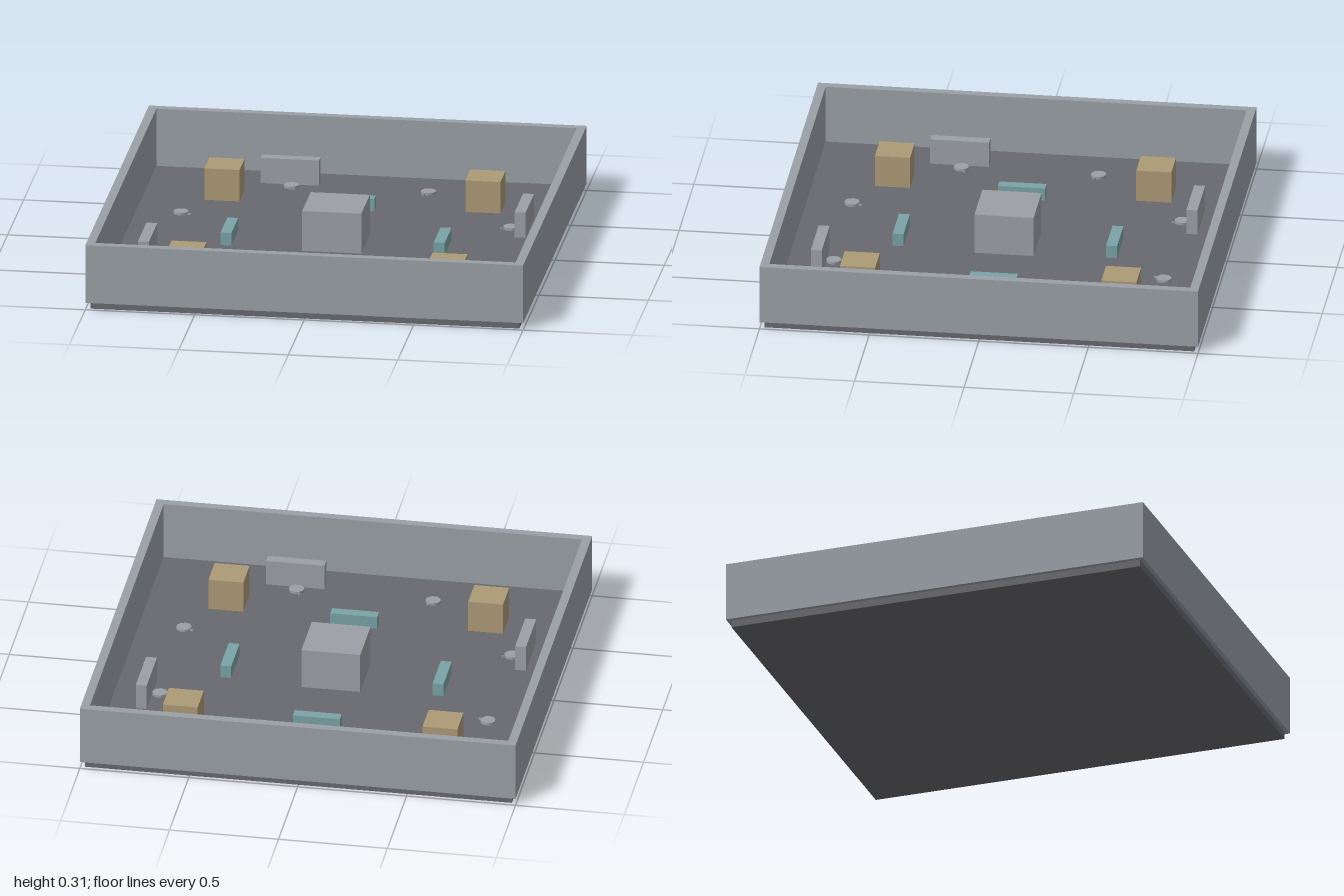
import * as THREE from 'three';

const FLOOR = 0.035; // height of the floor surface

export function createModel() {
  const model = new THREE.Group();
  model.name = 'arena';

  const material = (name, color) => {
    const m = new THREE.MeshStandardMaterial({ color });
    m.name = name;
    return m;
  };
  const wallGrey = material('wallGrey', 0x9aa0a7);
  const floorGrey = material('floorGrey', 0x68696e);
  const coverGrey = material('coverGrey', 0x9b9fa5);
  const crateTan = material('crateTan', 0xad9a76);
  const barrierTeal = material('barrierTeal', 0x7aa3a7);

  // Box resting on the given base height
  const box = (parent, name, mat, w, h, d, x, z, base = FLOOR) => {
    const mesh = new THREE.Mesh(new THREE.BoxGeometry(w, h, d), mat);
    mesh.name = name;
    mesh.position.set(x, base + h / 2, z);
    parent.add(mesh);
    return mesh;
  };

  // Floor slab and central block
  box(model, 'floor', floorGrey, 1.96, FLOOR, 1.96, 0, 0, 0);
  box(model, 'centralBlock', coverGrey, 0.27, 0.19, 0.27, 0, 0);

  // Perimeter wall: a square frame extruded upwards
  const square = (Type, s) => new Type([
    new THREE.Vector2(-s, -s), new THREE.Vector2(s, -s),
    new THREE.Vector2(s, s), new THREE.Vector2(-s, s),
  ]);
  const frame = square(THREE.Shape, 1);
  frame.holes.push(square(THREE.Path, 0.96));
  const frameGeometry = new THREE.ExtrudeGeometry(frame, { depth: 0.275, bevelEnabled: false });
  frameGeometry.rotateX(-Math.PI / 2);
  const wall = new THREE.Mesh(frameGeometry, wallGrey);
  wall.name = 'perimeterWall';
  wall.position.y = 0.033;
  model.add(wall);

  // Low round marker with a thin pointer aimed at the arena centre
  const addMarker = (parent, x, z) => {
    const marker = new THREE.Group();
    marker.name = 'spawnMarker';
    const disc = new THREE.Mesh(new THREE.CylinderGeometry(0.035, 0.035, 0.012, 10), coverGrey);
    disc.name = 'markerDisc';
    disc.position.y = 0.006;
    const pointer = new THREE.Mesh(new THREE.BoxGeometry(0.005, 0.008, 0.02), coverGrey);
    pointer.name = 'markerPointer';
    pointer.position.set(0, 0.004, 0.04);
    marker.add(disc, pointer);
    marker.position.set(x, FLOOR, z);
    marker.rotation.y = Math.atan2(-x, -z);
    parent.add(marker);
  };

  // Each quarter repeats the same props, turned by 90 degrees
  for (let i = 0; i < 4; i++) {
    const quarter = new THREE.Group();
    quarter.name = 'quarter' + (i + 1);
    quarter.rotation.y = (i * Math.PI) / 2;
    box(quarter, 'crate', crateTan, 0.16, 0.15, 0.16, 0.596, 0.596);
    box(quarter, 'lowBarrier', barrierTeal, 0.216, 0.06, 0.05, 0, 0.487);
    box(quarter, 'coverPanel', coverGrey, 0.268, 0.12, 0.05, 0.326, 0.813);
    addMarker(quarter, 0.313, 0.753);
    addMarker(quarter, -0.313, 0.753);
    model.add(quarter);
  }

  return model;
}
